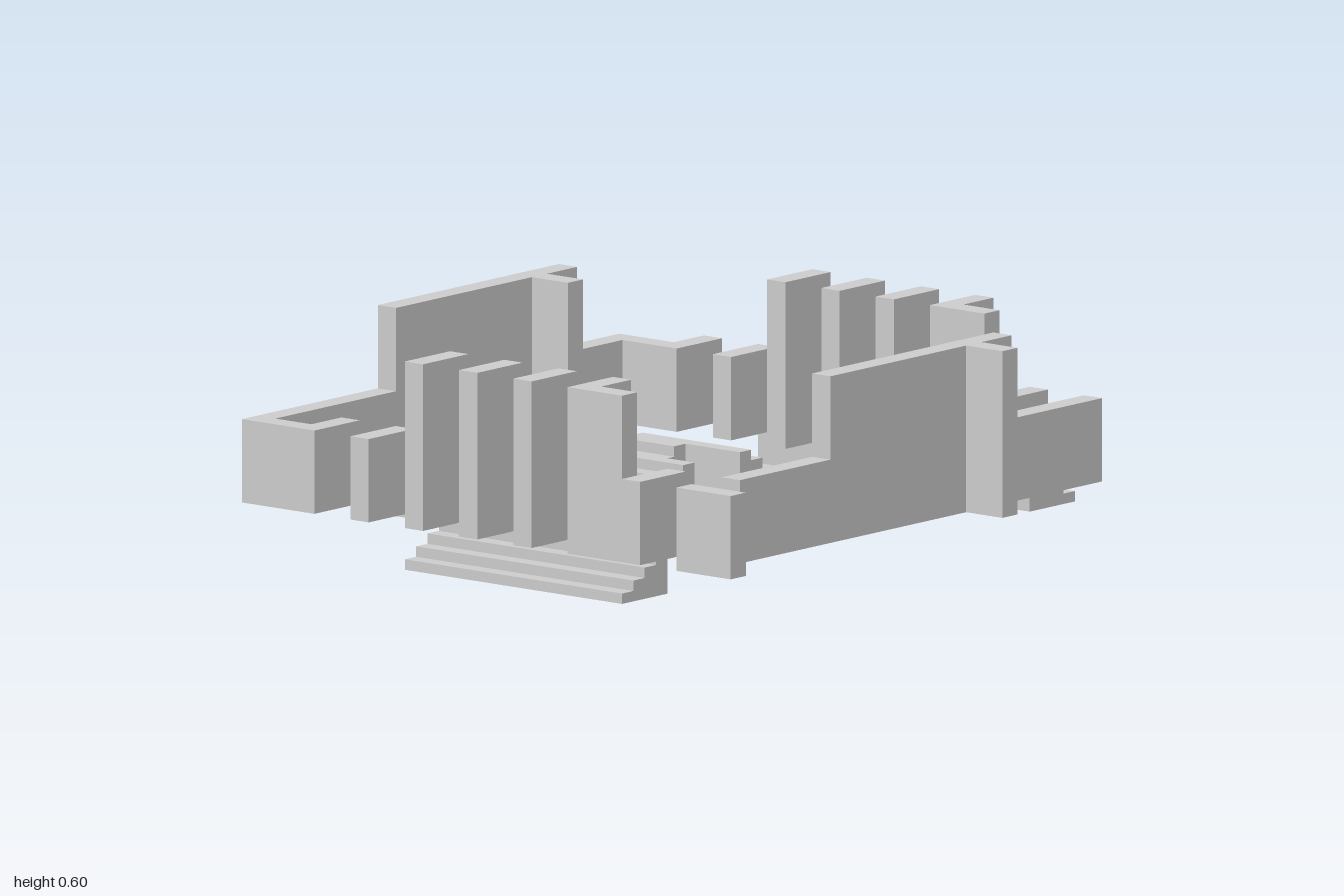
import * as THREE from 'three';
import { mergeGeometries } from 'three/addons/utils/BufferGeometryUtils.js';

const BASE = 0.12, LOW = 0.36, TALL = 0.6, T = 0.067;
const STEPS = 4, RUN = 0.2, RISE = 0.12;

export function createModel() {
  const model = new THREE.Group();
  const solid = new THREE.MeshStandardMaterial({ color: 0xcccccc, flatShading: true });
  const shell = new THREE.MeshStandardMaterial({ color: 0xcccccc, flatShading: true, side: THREE.DoubleSide });

  // Block between two plan corners, standing on the floor level
  function block(name, x0, x1, z0, z1, top) {
    const mesh = new THREE.Mesh(new THREE.BoxGeometry(x1 - x0, top - BASE, z1 - z0), solid);
    mesh.position.set((x0 + x1) / 2, (top + BASE) / 2, (z0 + z1) / 2);
    mesh.name = name;
    model.add(mesh);
  }

  // Flight of steps, hollow below, rising along +x (or -x when reversed)
  function stairs(name, x0, z0, z1, y = 0, reversed = false) {
    const h = (z1 - z0) / 2;
    const profile = [new THREE.Vector2(-RUN / 2, 0)];
    for (let i = 0; i < STEPS; i++) {
      const y1 = (i + 1) * RISE / STEPS;
      profile.push(new THREE.Vector2(-RUN / 2 + i * RUN / STEPS, y1));
      profile.push(new THREE.Vector2(-RUN / 2 + (i + 1) * RUN / STEPS, y1));
    }
    profile.push(new THREE.Vector2(RUN / 2, 0));

    // Risers, treads and back
    const pos = [];
    for (let i = 0; i < profile.length - 1; i++) {
      const a = profile[i], b = profile[i + 1];
      pos.push(a.x, a.y, -h, a.x, a.y, h, b.x, b.y, h);
      pos.push(a.x, a.y, -h, b.x, b.y, h, b.x, b.y, -h);
    }
    const surface = new THREE.BufferGeometry();
    surface.setAttribute('position', new THREE.Float32BufferAttribute(pos, 3));

    // Stepped side panels
    const sides = [h, -h].map((z) => {
      const side = new THREE.ShapeGeometry(new THREE.Shape(profile)).toNonIndexed();
      side.deleteAttribute('uv');
      side.deleteAttribute('normal');
      if (z < 0) {
        side.rotateY(Math.PI);
        side.scale(-1, 1, 1);
        const p = side.attributes.position;
        for (let i = 0; i < p.count; i += 3) {
          const v = new THREE.Vector3().fromBufferAttribute(p, i);
          const w = new THREE.Vector3().fromBufferAttribute(p, i + 1);
          p.setXYZ(i, w.x, w.y, w.z);
          p.setXYZ(i + 1, v.x, v.y, v.z);
        }
        // Winding is kept facing outwards
      }
      return side.translate(0, 0, z);
    });
    const geometry = mergeGeometries([surface, ...sides]);
    geometry.computeVertexNormals();
    const mesh = new THREE.Mesh(geometry, shell);
    mesh.position.set(x0 + RUN / 2, y, (z0 + z1) / 2);
    if (reversed) mesh.rotation.y = Math.PI;
    mesh.name = name;
    model.add(mesh);
  }

  // Front wall with a raised centre and an outer pier
  block('frontWallRight', -0.8, -0.4, 0.7, 0.7 + T, LOW);
  block('frontWallCentre', -0.4, 0.4, 0.7, 0.7 + T, TALL);
  block('frontWallLeft', 0.4, 0.8, 0.7, 0.7 + T, LOW);
  block('frontPier', 0.2, 0.2 + T, 0.7 + T, 0.9, TALL);
  block('frontCornerWall', -1, -1 + T, 0.7, 0.9, LOW);

  // Back wall with a raised centre and an inner pier
  block('backWallRight', -1, -0.4, -0.9, -0.9 + T, LOW);
  block('backWallCentre', -0.4, 0.4, -0.9, -0.9 + T, TALL);
  block('backWallLeft', 0.4, 0.6 + T, -0.9, -0.9 + T, LOW);
  block('backPier', 0.2, 0.2 + T, -0.9 + T, -0.7, TALL);

  // Both side colonnades: returns, cross walls and linking walls
  for (const x of [-1, 0.6]) {
    block('backReturnWall', x, x + T, -0.9 + T, -0.7, LOW);
    for (const z of [-0.7, -0.5, 0.5]) block('lowCrossWall', x, x + 0.2, z, z + T, LOW);
    for (const z of [-0.3, -0.1, 0.1, 0.3]) block('tallCrossWall', x, x + 0.2, z, z + T, TALL);
    block('linkWall', x, x + T, 0.3 + T, 0.5, TALL);
  }

  // Outer stairs on both sides
  stairs('leftStairs', 0.8, -0.5, 0.5, 0, true);
  stairs('rightStairs', -1, -0.3, 0.5);

  // Row of flights below the back wall
  for (let i = 0; i < 4; i++) stairs('backStairs', -0.4 + i * RUN, -0.9, -0.7);

  // Raised flights in the middle of the court
  stairs('courtStairsRight', -0.4, -0.3, 0.1, BASE);
  stairs('courtStairsMiddle', -0.2, -0.3, -0.1, BASE);
  stairs('courtStairsLeft', 0, -0.3, 0.1, BASE, true);

  return model;
}
